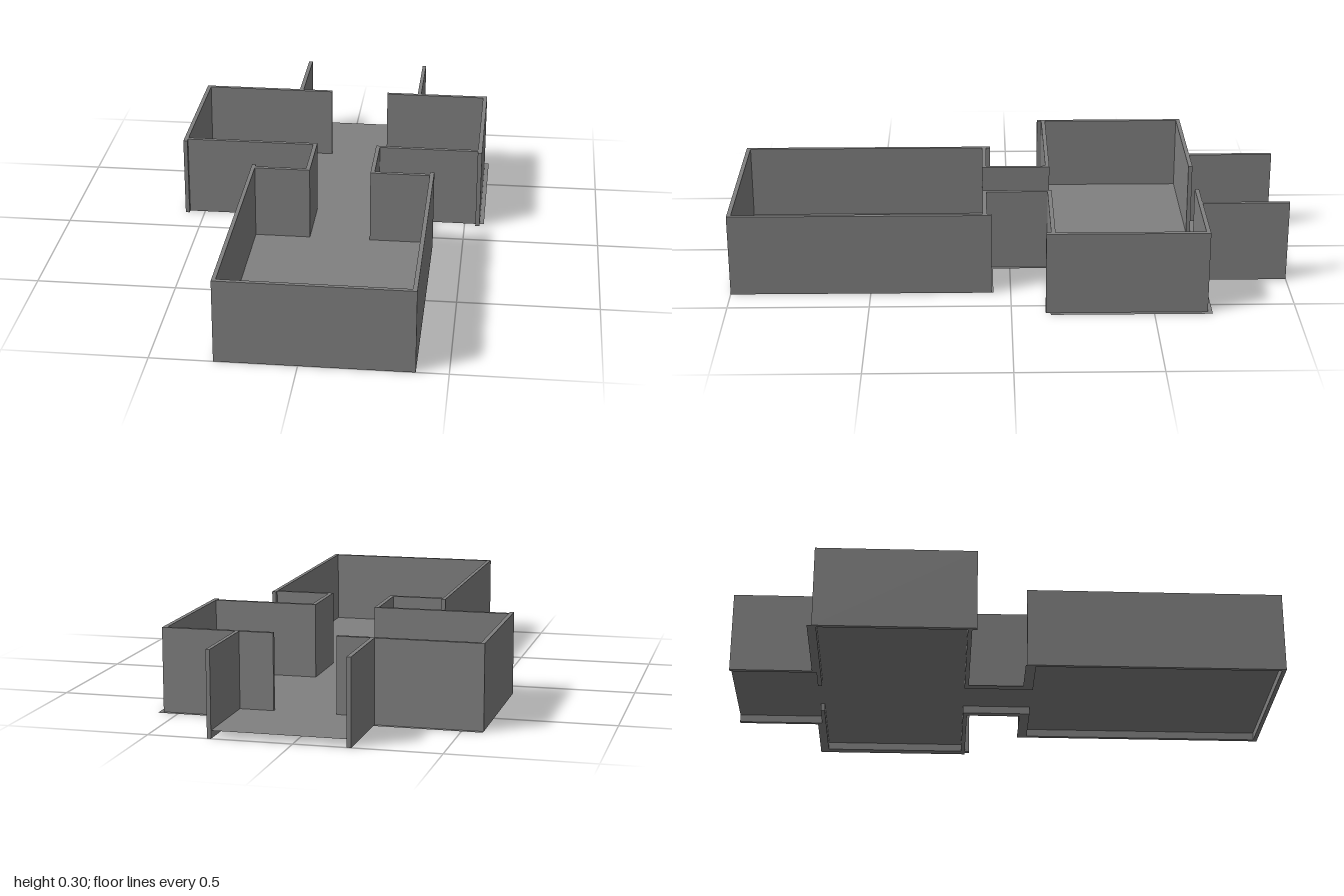
import * as THREE from 'three';

const HEIGHT = 0.3;
const FLOOR_Y = 0.028;

export function createModel() {
  const model = new THREE.Group();
  model.name = 'floorPlan';
  const grey = new THREE.MeshStandardMaterial({ color: 0x808080, side: THREE.DoubleSide });
  grey.name = 'plainGrey';

  // Wall standing on a rectangle in plan
  function wall(name, x0, x1, z0, z1) {
    const mesh = new THREE.Mesh(new THREE.BoxGeometry(x1 - x0, HEIGHT, z1 - z0), grey);
    mesh.position.set((x0 + x1) / 2, HEIGHT / 2, (z0 + z1) / 2);
    mesh.name = name;
    model.add(mesh);
  }

  // Flat polygon at height y, given as [x, z] corners
  function slab(name, y, points) {
    const shape = new THREE.Shape(points.map(([x, z]) => new THREE.Vector2(x, -z)));
    const geo = new THREE.ShapeGeometry(shape);
    geo.rotateX(-Math.PI / 2);
    const mesh = new THREE.Mesh(geo, grey);
    mesh.position.y = y;
    mesh.name = name;
    model.add(mesh);
  }
  const lip = (name, x0, x1, z0, z1) => slab(name, 0, [[x0, z0], [x0, z1], [x1, z1], [x1, z0]]);

  // Front room
  wall('frontRoomFrontWall', -0.282, 0.39, 0.985, 1);
  wall('frontRoomRightWall', -0.282, -0.268, 0.068, 0.985);
  wall('frontRoomLeftWall', 0.375, 0.39, 0.068, 0.985);
  wall('frontRoomBackWallRight', -0.268, -0.065, 0.084, 0.099);
  wall('frontRoomBackWallLeft', 0.158, 0.375, 0.084, 0.099);

  // Corridor between the rooms
  wall('corridorRightWall', -0.08, -0.065, -0.152, 0.084);
  wall('corridorLeftWall', 0.158, 0.173, -0.152, 0.084);

  // Wide middle room
  wall('middleRoomRightWall', -0.573, -0.558, -0.688, -0.12);
  wall('middleRoomLeftWall', 0.541, 0.557, -0.688, -0.12);
  wall('middleRoomFrontWallRight', -0.558, -0.08, -0.152, -0.137);
  wall('middleRoomFrontWallLeft', 0.173, 0.541, -0.152, -0.137);
  wall('middleRoomBackWallRight', -0.558, -0.065, -0.688, -0.673);
  wall('middleRoomBackWallLeft', 0.158, 0.541, -0.688, -0.673);

  // Open passage at the back
  wall('passageRightWall', -0.197, -0.182, -1, -0.688);
  wall('passageLeftWall', 0.279, 0.293, -1, -0.688);

  // Raised floor running through all the doorways
  slab('floor', FLOOR_Y, [
    [-0.268, 0.985], [0.375, 0.985], [0.375, 0.099], [0.158, 0.099],
    [0.158, -0.152], [0.541, -0.152], [0.541, -0.673], [0.158, -0.673],
    [0.158, -0.688], [0.279, -0.688], [0.279, -1], [-0.182, -1],
    [-0.182, -0.688], [-0.065, -0.688], [-0.065, -0.673], [-0.558, -0.673],
    [-0.558, -0.152], [-0.065, -0.152], [-0.065, 0.099], [-0.268, 0.099],
  ]);

  // Narrow flat lips on the ground outside the walls
  lip('middleRoomSideLip', 0.557, 0.573, -0.704, -0.137);
  lip('middleRoomBackLipLeft', 0.293, 0.557, -0.704, -0.688);
  lip('middleRoomBackLipRight', -0.573, -0.197, -0.704, -0.688);
  lip('corridorLipRight', -0.096, -0.08, -0.137, 0.084);
  lip('corridorLipLeft', 0.173, 0.184, -0.137, 0.084);
  lip('frontRoomLipRight', -0.282, -0.096, 0.062, 0.084);
  lip('frontRoomLipLeft', 0.184, 0.39, 0.062, 0.084);

  return model;
}
